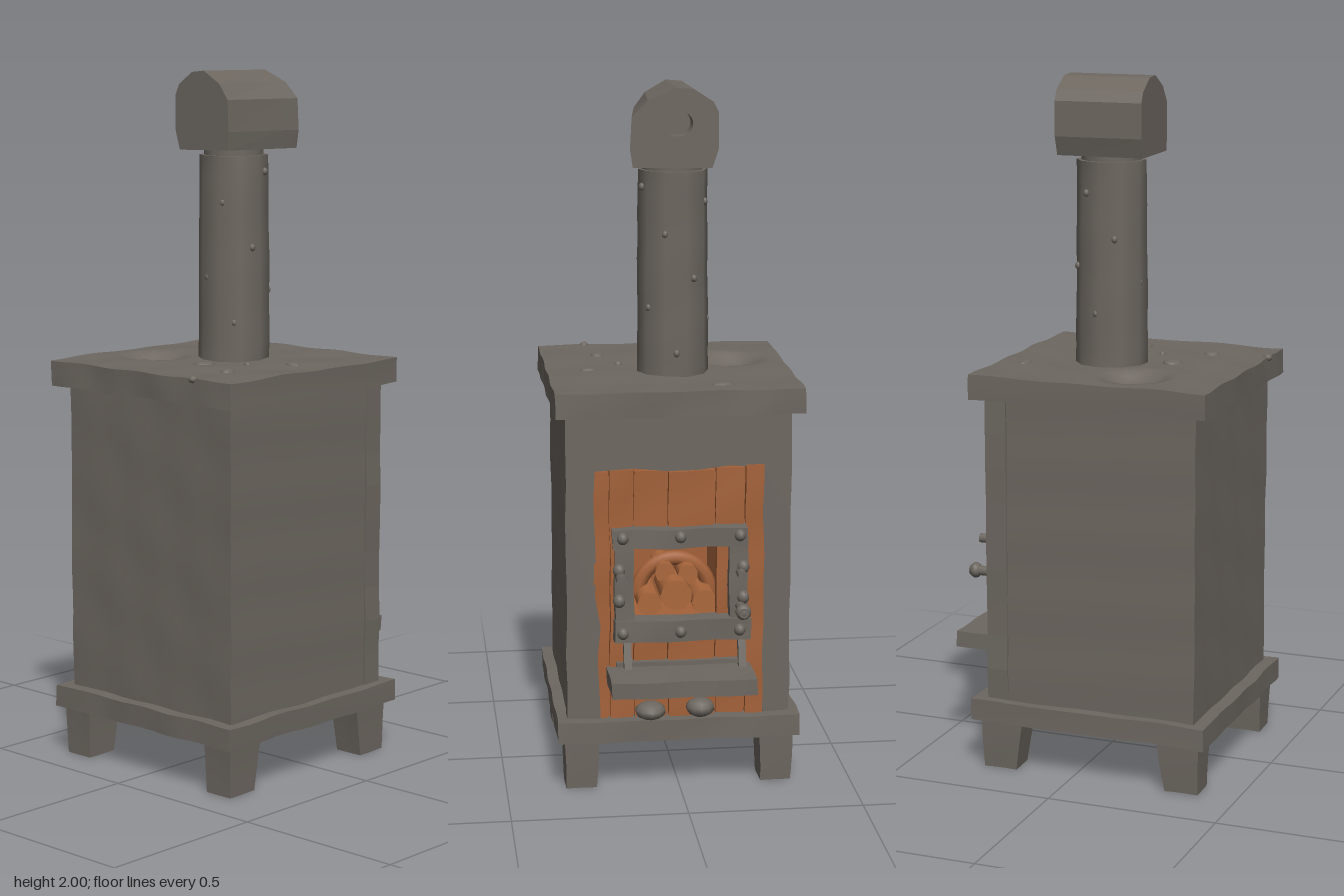
import * as THREE from 'three';
import { toCreasedNormals } from 'three/addons/utils/BufferGeometryUtils.js';

const mat = (name, color) => Object.assign(new THREE.MeshStandardMaterial({ color }), { name });

export function createModel() {
  const root = new THREE.Group();
  root.name = 'woodStove';
  const stone = mat('warm grey stone', 0x6d6760);
  const wood = mat('brown orange wood', 0xa36139);
  const ember = mat('light orange logs', 0xac683d);

  let seed = 7;
  const rand = () => (seed = (seed * 16807) % 2147483647) / 2147483647;
  const jit = (a) => (rand() - 0.5) * 2 * a;

  const add = (name, geo, material, parent = root) => {
    const mesh = new THREE.Mesh(geo, material);
    mesh.name = name;
    parent.add(mesh);
    return mesh;
  };
  const group = (name) => {
    const g = new THREE.Group();
    g.name = name;
    root.add(g);
    return g;
  };

  // Moves every vertex by a rule, then refreshes normals
  const reshape = (geo, rule) => {
    const p = geo.attributes.position;
    const v = new THREE.Vector3();
    for (let i = 0; i < p.count; i++) {
      v.fromBufferAttribute(p, i);
      rule(v);
      p.setXYZ(i, v.x, v.y, v.z);
    }
    geo.computeVertexNormals();
    return geo;
  };

  // Uneven, hand-hewn surface
  const wobble = (a) => (v) => {
    const { x, y, z } = v;
    v.x += a * Math.sin(17 * y + 23 * z + 3 * x) * Math.cos(11 * z - 9 * y);
    v.y += a * Math.sin(19 * x - 15 * z + 1) * Math.cos(13 * z + 5 * x);
    v.z += a * Math.sin(16 * x + 21 * y + 2) * Math.cos(9 * y - 14 * x);
  };

  // Subdivided rough block between two corners
  const block = (x0, x1, y0, y1, z0, z1, amp = 0.004, step = 0.04) => {
    const s = [x1 - x0, y1 - y0, z1 - z0];
    const n = s.map((d) => Math.max(1, Math.round(d / step)));
    const g = new THREE.BoxGeometry(...s, ...n);
    g.translate((x0 + x1) / 2, (y0 + y1) / 2, (z0 + z1) / 2);
    return reshape(g, wobble(amp));
  };

  // Profile drawn facing +x (first axis runs toward -z), thickened from x0 to x1
  const slab = (pts, x0, x1, hole) => {
    const shape = new THREE.Shape(pts.map((p) => new THREE.Vector2(...p)));
    if (hole) shape.holes.push(hole);
    const g = new THREE.ExtrudeGeometry(shape, { depth: x1 - x0, bevelEnabled: false, curveSegments: 16 });
    return g.rotateY(Math.PI / 2).translate(x0, 0, 0);
  };
  const rect = (a, b, c, d) => [[a, c], [b, c], [b, d], [a, d]];
  const pathOf = (pts) => new THREE.Path(pts.map((p) => new THREE.Vector2(...p)));

  // Stove body, open where the front wall goes
  const body = block(-0.37, 0.25, 0.19, 1.11, -0.318, 0.318, 0.002);
  const frontCount = body.groups[0].count;
  body.setIndex(Array.from(body.index.array).slice(frontCount));
  body.clearGroups();
  add('body', body, stone);

  // Front wall with a ragged opening
  const outer = [];
  const inner = [];
  for (let i = 0; i <= 9; i++) outer.push([0.322 + jit(0.003), 0.2 + 0.1 * i]);
  for (let i = 9; i >= 0; i--) outer.push([-0.322 + jit(0.003), 0.2 + 0.1 * i]);
  for (let i = 0; i <= 8; i++) inner.push([0.235 + jit(0.012), 0.205 + 0.092 * i]);
  for (let i = 1; i <= 4; i++) inner.push([0.235 - 0.09 * i, 0.94 + jit(0.01)]);
  for (let i = 8; i >= 0; i--) inner.push([-0.235 + jit(0.012), 0.205 + 0.092 * i]);
  add('frontWall', slab(outer, 0.2, 0.264, pathOf(inner)), stone);

  // Roof slab with a round dent, and base slab
  const roof = block(-0.41, 0.3, 1.1, 1.172, -0.355, 0.352, 0.003, 0.02);
  reshape(roof, (v) => {
    const d = Math.hypot(v.x + 0.145, v.z + 0.2) / 0.1;
    if (v.y > 1.15 && d < 1) v.y -= 0.03 * Math.min(1, (1 - d) * 2.5);
  });
  add('roofSlab', roof, stone);
  add('baseSlab', block(-0.41, 0.305, 0.145, 0.208, -0.35, 0.35, 0.003), stone);

  // Tapered legs, vertical on the outside
  for (const [sx, cx] of [[-1, -0.325], [1, 0.215]]) {
    for (const sz of [-1, 1]) {
      const leg = block(-0.065, 0.065, 0, 0.16, -0.05, 0.05, 0.002);
      reshape(leg, (v) => {
        const t = 1 - v.y / 0.16;
        v.x = v.x * (1 - 0.24 * t) + sx * 0.01 * t;
        v.z *= 1 - 0.12 * t;
        v.y = Math.max(0, v.y);
      });
      add('leg', leg.translate(cx, 0, sz * 0.283), stone);
    }
  }

  // Chimney pipe with a narrow neck
  const pipe = new THREE.CylinderGeometry(0.1, 0.104, 0.6, 10, 10).translate(-0.003, 1.46, -0.014);
  add('chimneyPipe', toCreasedNormals(reshape(pipe, wobble(0.0015)), 0.7), stone);
  add('chimneyNeck', new THREE.CylinderGeometry(0.088, 0.088, 0.06, 12).translate(-0.003, 1.77, -0.014), stone);

  // Chimney cap with a round vent, wider toward the vent side
  const capShape = [[-0.112, 1.778], [0.112, 1.775], [0.13, 1.83], [0.13, 1.93], [0.115, 1.96], [0.06, 1.996],
    [0.01, 2], [-0.07, 1.965], [-0.115, 1.92], [-0.12, 1.83]];
  const vent = new THREE.Path();
  vent.absellipse(0.015, 1.9, 0.042, 0.036, 0, Math.PI * 2, true);
  const skew = (v) => {
    if (v.z > 0) v.z *= 0.873 + 1.1 * v.x;
    else v.z *= 0.965 + 0.27 * v.x;
  };
  add('chimneyCap', reshape(slab(capShape, -0.133, 0.07), skew), stone);
  add('chimneyCapFront', reshape(slab(capShape, 0.07, 0.125, vent), skew), stone);

  // Wooden front: backing board and uneven planks around the fire opening
  const front = group('plankFront');
  const hole = { z0: -0.14, z1: 0.135, y0: 0.5, y1: 0.725 };
  const holePath = pathOf(rect(-hole.z1, -hole.z0, hole.y0, hole.y1));
  add('backingBoard', slab(rect(-0.25, 0.25, 0.2, 0.96), 0.23, 0.246, holePath), wood, front);
  const seams = [0.247, 0.2, 0.13, 0.032, -0.105, -0.19, -0.247];
  for (let i = 0; i < seams.length - 1; i++) {
    const z1 = seams[i] - 0.003;
    const z0 = seams[i + 1] + 0.003;
    const x1 = 0.267 + jit(0.006);
    const top = 0.942 + jit(0.008);
    const clear = z1 < hole.z0 + 0.04 || z0 > hole.z1 - 0.02;
    const spans = clear ? [[0.2, top]] : [[0.2, hole.y0], [hole.y1, top]];
    for (const [y0, y1] of spans) add('plank', block(0.24, x1, y0, y1, z0, z1, 0.003), wood, front);
  }

  // Firebox: inward-facing box tapering to the back, open at the front
  const box = new THREE.BoxGeometry(0.2, hole.y1 - hole.y0, hole.z1 - hole.z0);
  box.setIndex(Array.from(box.index.array).filter((_, i) => i < 6 || i >= 12));
  box.clearGroups();
  box.scale(-1, 1, 1);
  reshape(box, (v) => {
    if (v.x < 0) { v.y = v.y * 0.8 - 0.02; v.z *= 0.8; }
  });
  add('firebox', box.translate(0.15, (hole.y0 + hole.y1) / 2, 0), wood);
  const arch = new THREE.TorusGeometry(0.105, 0.022, 8, 20, Math.PI).rotateY(Math.PI / 2);
  add('fireArch', arch.translate(0.14, 0.54, 0), wood);

  // Logs stacked in the fire
  const logs = group('logs');
  for (const [z, y, r, x] of [[0.005, 0.565, 0.046, 0.25], [0.08, 0.535, 0.036, 0.23],
    [-0.08, 0.535, 0.038, 0.23], [0.03, 0.615, 0.03, 0.19], [-0.035, 0.61, 0.03, 0.2]]) {
    const log = new THREE.CylinderGeometry(r, r, 0.17, 9).rotateZ(Math.PI / 2);
    add('log', log.translate(x - 0.085, y, z), ember, logs);
  }

  // Door frame bars with rivets
  const door = group('doorFrame');
  add('topBar', block(0.25, 0.307, 0.72, 0.775, -0.195, 0.192), stone, door);
  add('bottomBar', block(0.25, 0.312, 0.445, 0.508, -0.2, 0.19), stone, door);
  for (const z of [0.16, -0.167]) {
    add('sideBar', block(0.25, 0.302, 0.48, 0.75, z - 0.027, z + 0.027), stone, door);
  }
  const lump = (name, x, y, z, rx, ry, rz, parent) =>
    add(name, new THREE.SphereGeometry(1, 10, 7).scale(rx, ry, rz).translate(x, y, z), stone, parent);
  for (const y of [0.475, 0.755]) {
    for (const z of [0.165, 0, -0.17]) lump('rivet', 0.308, y, z, 0.02, 0.018, 0.017, door);
  }
  for (const y of [0.57, 0.66]) {
    for (const z of [0.175, -0.18]) lump('rivet', 0.303, y, z, 0.018, 0.02, 0.018, door);
  }

  // Door handle, latch and hinge pin
  const peg = (name, x0, x1, y, z, r) =>
    add(name, new THREE.CylinderGeometry(r, r, x1 - x0, 8).rotateZ(Math.PI / 2).translate((x0 + x1) / 2, y, z), stone, door);
  peg('handle', 0.29, 0.383, 0.545, -0.172, 0.015);
  lump('handleKnob', 0.366, 0.545, -0.172, 0.019, 0.023, 0.023, door);
  peg('latch', 0.29, 0.35, 0.645, -0.172, 0.014);
  peg('hingePin', 0.29, 0.35, 0.64, 0.17, 0.017);

  // Hearth shelf on two struts
  const shelf = group('hearthShelf');
  add('shelf', block(0.25, 0.415, 0.315, 0.362, -0.207, 0.207, 0.003), stone, shelf);
  add('shelfRail', block(0.25, 0.285, 0.365, 0.378, -0.19, 0.18, 0.002), stone, shelf);
  for (const z of [0.15, -0.18]) {
    const strut = new THREE.BoxGeometry(0.022, 0.12, 0.022).rotateZ(0.25);
    add('strut', strut.translate(0.285, 0.4, z), stone, shelf);
  }

  // Loose stones on the base in front
  lump('looseStone', 0.29, 0.235, 0.085, 0.045, 0.026, 0.045, root);
  lump('looseStone', 0.285, 0.238, -0.06, 0.04, 0.028, 0.042, root);

  // Low pebbly bumps on the roof and pipe
  const bumps = group('bumps');
  for (const [x, z, rx, rz] of [[0.22, -0.13, 0.018, 0.034], [-0.175, 0.03, 0.03, 0.032], [-0.24, 0.185, 0.024, 0.02],
    [-0.105, 0.135, 0.01, 0.012], [-0.02, 0.23, 0.016, 0.026], [-0.405, 0.21, 0.014, 0.014]]) {
    lump('roofBump', x, 1.17, z, rx, 0.011, rz, bumps);
  }
  for (let i = 0; i < 12; i++) {
    const a = i * 2.4;
    lump('pipeBump', 0.096 * Math.cos(a), 1.24 + 0.043 * i, -0.014 + 0.096 * Math.sin(a), 0.009, 0.011, 0.009, bumps);
  }
  return root;
}
